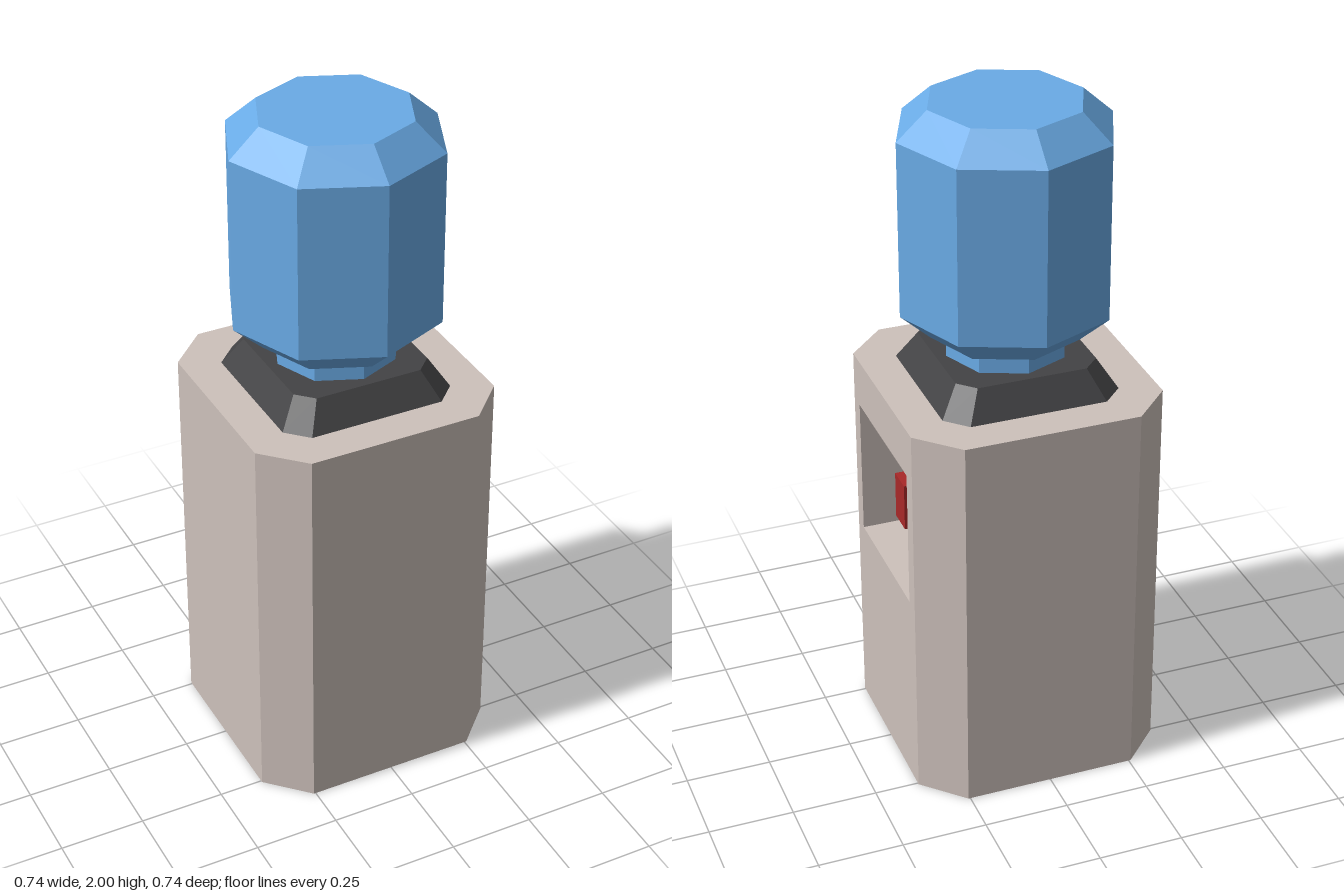
import * as THREE from 'three';

const material = (color) => new THREE.MeshStandardMaterial({ color, flatShading: true });

// Mesh from convex polygons, corners counter-clockwise seen from outside
function polyMesh(name, faces, mat) {
  const pos = [];
  for (const f of faces)
    for (let i = 1; i < f.length - 1; i++) pos.push(...f[0], ...f[i], ...f[i + 1]);
  const geo = new THREE.BufferGeometry();
  geo.setAttribute('position', new THREE.Float32BufferAttribute(pos, 3));
  geo.computeVertexNormals();
  const mesh = new THREE.Mesh(geo, mat);
  mesh.name = name;
  return mesh;
}

// Square ring with cut corners: half width r, half length c of the straight edge
const ring = (r, c, y) =>
  [[r, c], [r, -c], [c, -r], [-c, -r], [-r, -c], [-r, c], [-c, r], [c, r]].map(([x, z]) => [x, y, z]);

// Quads joining two closed loops
const bridge = (a, b) =>
  a.map((p, i) => {
    const j = (i + 1) % a.length;
    return [p, a[j], b[j], b[i]];
  });

export function createModel() {
  const model = new THREE.Group();
  const shell = material(0xcdc1bb);

  // Cabinet: eight-sided column whose +x side has an opening
  const R = 0.37, H = 1.175, W = 0.21;
  const low = ring(R, 0.256, 0), high = ring(R, 0.256, H);
  const sides = bridge(low, high);
  const panel = sides.shift();
  const opening = [[R, 0.615, W], [R, 0.615, -W], [R, 1.03, -W], [R, 1.03, W]];
  model.add(polyMesh('cabinet',
    [...sides, ...bridge(panel, opening), high, [...low].reverse()], shell));

  // Dispensing niche: floor, back wall, sloped and flat ceiling, two cheeks
  const profile = [[R, 0.615], [0.21, 0.615], [0.21, 0.91], [0.29, 1.03], [R, 1.03]];
  const left = profile.map(([x, y]) => [x, y, W]);
  const right = profile.map(([x, y]) => [x, y, -W]);
  const lining = bridge(left, right).slice(0, -1).map(([a, b, c, d]) => [a, d, c, b]);
  model.add(polyMesh('niche', [...lining, left, [...right].reverse()], shell));

  // Hot and cold taps on the niche back wall
  for (const [name, color, z] of [['hotTap', 0xa82828, 0.087], ['coldTap', 0x2a52a4, -0.083]]) {
    const tap = new THREE.Mesh(new THREE.BoxGeometry(0.085, 0.145, 0.08), material(color));
    tap.name = name;
    tap.position.set(0.2525, 0.76, z);
    model.add(tap);
  }

  // Tapered collar holding the bottle
  const collarTop = ring(0.207, 0.16, 1.26);
  model.add(polyMesh('collar',
    [...bridge(ring(0.26, 0.2, H), collarTop), collarTop], material(0x434345)));

  // Upturned water bottle, eight-sided with its neck in the collar
  const outline = [[0, 1.25], [0.178, 1.25], [0.178, 1.325], [0.222, 1.325],
    [0.31, 1.405], [0.31, 1.92], [0.222, 2], [0, 2]].map(([x, y]) => new THREE.Vector2(x, y));
  const bottle = new THREE.Mesh(new THREE.LatheGeometry(outline, 8), material(0x6aabe6));
  bottle.name = 'waterBottle';
  model.add(bottle);

  return model;
}
